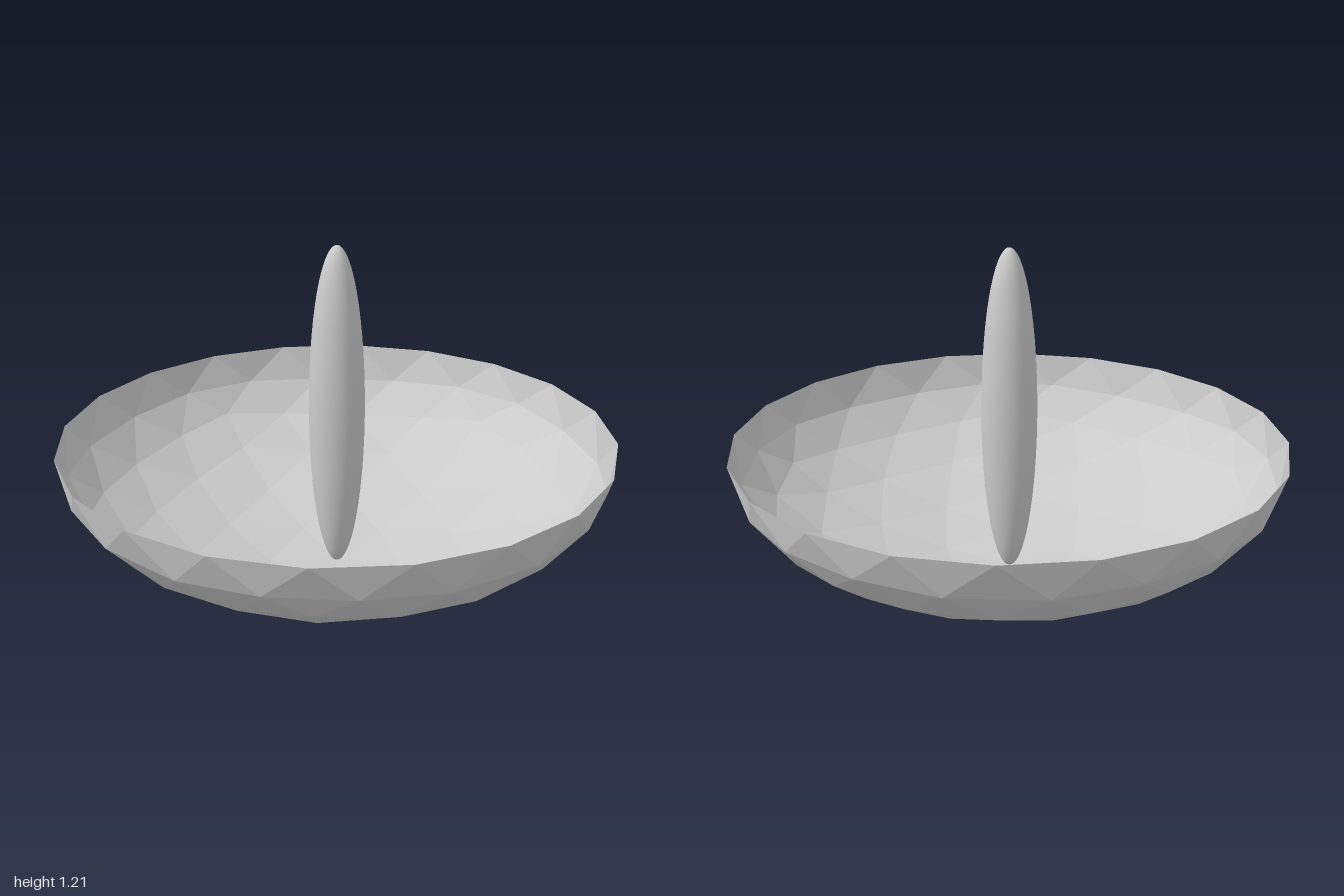
import * as THREE from 'three';

// Lower half of a faceted sphere, open at the top and squashed in height
function bowlGeometry(radius, depth) {
  const ball = new THREE.IcosahedronGeometry(radius, 3);
  // turn one corner of the icosahedron to the pole so a row of edges forms the rim
  ball.rotateZ(-Math.atan(2 / (1 + Math.sqrt(5))));
  const p = ball.attributes.position;
  const kept = [];
  for (let i = 0; i < p.count; i += 3) {
    if (p.getY(i) + p.getY(i + 1) + p.getY(i + 2) > 0) continue;
    for (let j = i; j < i + 3; j++) kept.push(p.getX(j), p.getY(j), p.getZ(j));
  }
  const bowl = new THREE.BufferGeometry();
  bowl.setAttribute('position', new THREE.Float32BufferAttribute(kept, 3));
  bowl.scale(1, depth / radius, 1);
  bowl.computeVertexNormals();
  return bowl;
}

export function createModel() {
  const group = new THREE.Group();

  const bowlGrey = new THREE.MeshStandardMaterial({ color: 0xcccccc, flatShading: true, side: THREE.DoubleSide });
  bowlGrey.name = 'light grey';
  const spindleGrey = bowlGrey.clone();
  spindleGrey.flatShading = false;
  spindleGrey.side = THREE.FrontSide;
  spindleGrey.name = 'smooth light grey';

  // open faceted dish
  const bowl = new THREE.Mesh(bowlGeometry(1, 0.5), bowlGrey);
  bowl.name = 'bowl';
  bowl.position.y = 0.505;

  // slender ellipsoid standing in the middle
  const spindle = new THREE.Mesh(new THREE.SphereGeometry(1, 48, 32).scale(0.1, 0.603, 0.1), spindleGrey);
  spindle.name = 'spindle';
  spindle.position.y = 0.603;

  group.add(bowl, spindle);
  return group;
}
